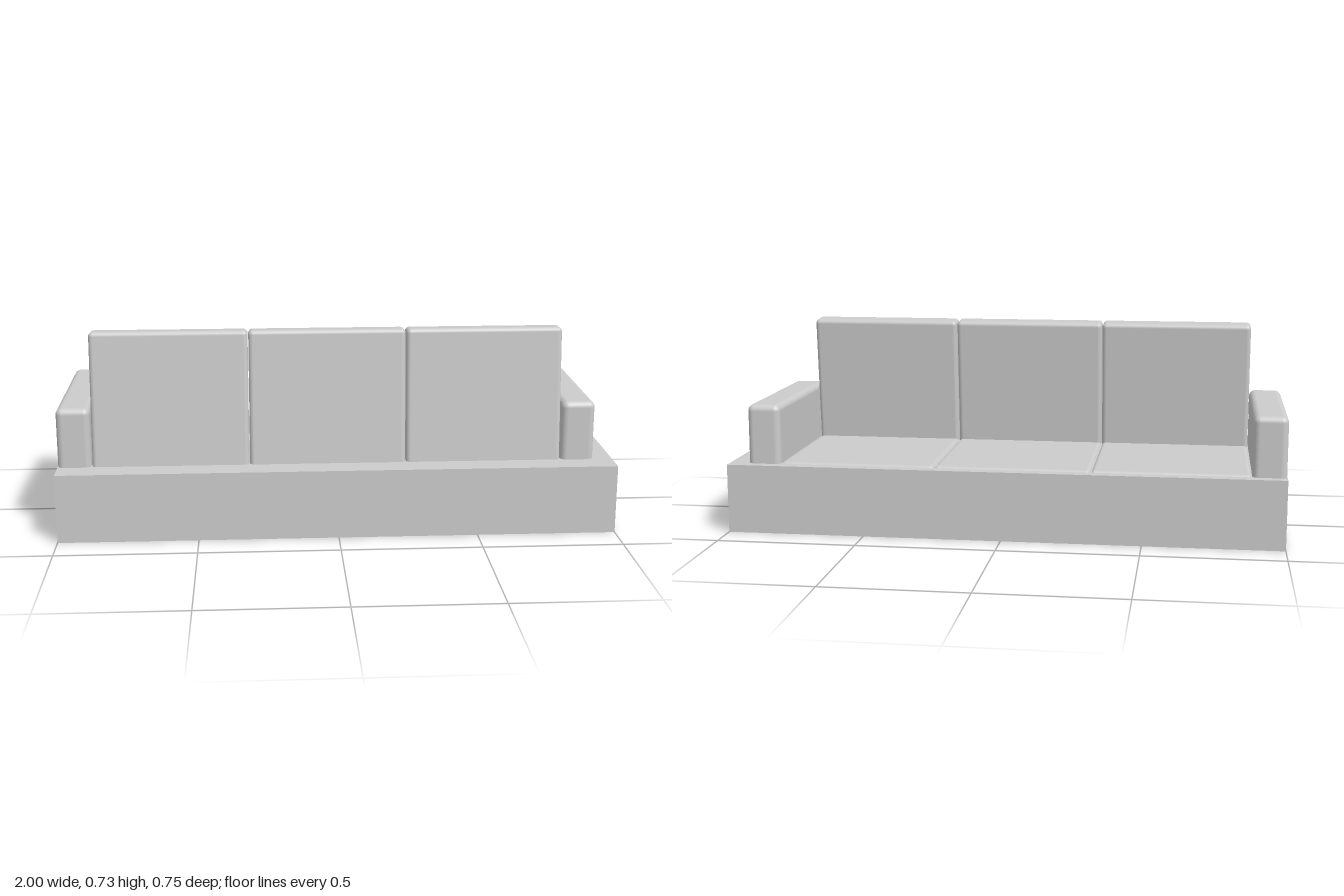
import * as THREE from 'three';
import { RoundedBoxGeometry } from 'three/addons/geometries/RoundedBoxGeometry.js';

export function createModel() {
  const sofa = new THREE.Group();
  sofa.name = 'sofa';
  const material = new THREE.MeshStandardMaterial({ color: 0xcccccc });

  function add(name, geometry, x, y, z) {
    const mesh = new THREE.Mesh(geometry, material);
    mesh.name = name;
    mesh.position.set(x, y, z);
    sofa.add(mesh);
    return mesh;
  }

  // Plain plinth
  add('base', new THREE.BoxGeometry(2, 0.25, 0.75), 0, 0.125, 0);

  // Armrests, sunk into the base; the whole seat sits off centre towards -x
  const centerX = -0.034;
  const armGeometry = new RoundedBoxGeometry(0.12, 0.265, 0.624, 4, 0.023);
  for (const [name, side] of [['rightArm', -1], ['leftArm', 1]]) {
    add(name, armGeometry, centerX + side * 0.905, 0.3325, -0.027);
  }

  // Three seat cushions just proud of the base, and three leaning back cushions
  const pitch = 0.5625;
  const seatGeometry = new RoundedBoxGeometry(0.56, 0.12, 0.58, 4, 0.015);
  const backGeometry = new RoundedBoxGeometry(0.56, 0.54, 0.082, 4, 0.016);
  for (let i = -1; i <= 1; i++) {
    const x = centerX + i * pitch;
    add('seatCushion', seatGeometry, x, 0.196, -0.046);
    const back = add('backCushion', backGeometry, x, 0.459, 0.222);
    back.rotation.x = -THREE.MathUtils.degToRad(5);
  }

  return sofa;
}
